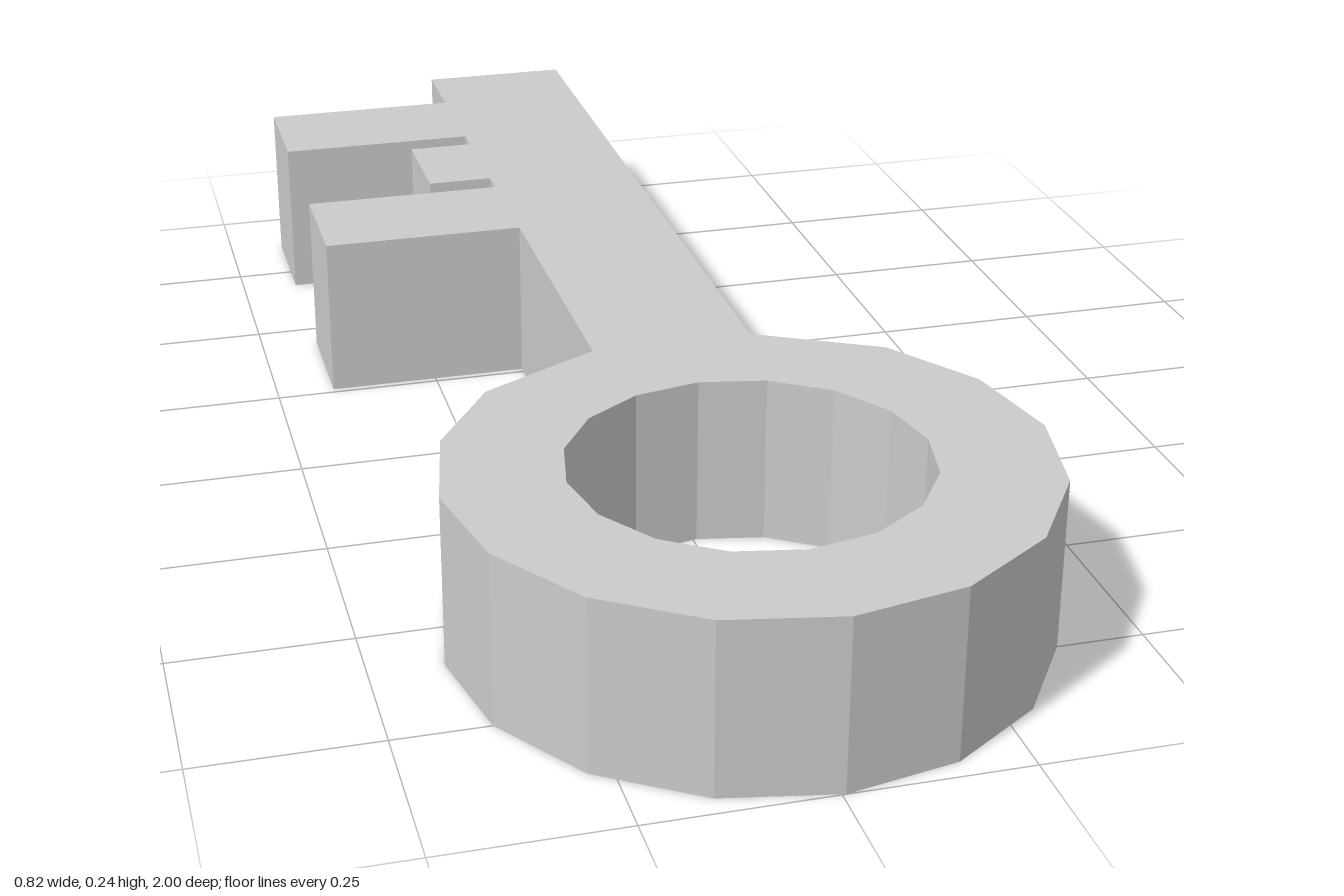
import * as THREE from 'three';

const HEIGHT = 0.243;
const RING = { x: 0.005, y: -0.595, outer: 0.405, inner: 0.242, sides: 16 };
const SHAFT = { left: -0.11, right: 0.12, base: -0.217, tip: 1 };
// Each tooth: outer x, far end, near end along the shaft
const TEETH = [
  [-0.413, 0.87, 0.69],
  [-0.21, 0.65, 0.483],
  [-0.413, 0.442, 0.26],
];

function ringPoint(radius, i) {
  const a = (i / RING.sides) * Math.PI * 2;
  return new THREE.Vector2(RING.x + radius * Math.cos(a), RING.y + radius * Math.sin(a));
}

export function createModel() {
  const group = new THREE.Group();
  group.name = 'key';
  const outline = [];
  const add = (x, y) => outline.push(new THREE.Vector2(x, y));

  // Bow: faceted ring, open where the shaft joins
  for (let i = 6; i <= 18; i++) outline.push(ringPoint(RING.outer, i));

  // Shaft
  add(SHAFT.right, SHAFT.base);
  add(SHAFT.right, SHAFT.tip);
  add(SHAFT.left, SHAFT.tip);

  // Teeth along the right-hand edge
  for (const [x, far, near] of TEETH) {
    add(SHAFT.left, far);
    add(x, far);
    add(x, near);
    add(SHAFT.left, near);
  }
  add(SHAFT.left, SHAFT.base);

  // Round hole through the bow
  const shape = new THREE.Shape(outline);
  const hole = [];
  for (let i = 0; i < RING.sides; i++) hole.push(ringPoint(RING.inner, -i));
  shape.holes.push(new THREE.Path(hole));

  // Lay the extruded outline flat, with the bow to the front
  const geometry = new THREE.ExtrudeGeometry(shape, { depth: HEIGHT, bevelEnabled: false });
  geometry.rotateX(-Math.PI / 2);
  const body = new THREE.Mesh(
    geometry,
    new THREE.MeshStandardMaterial({ color: 0xcccccc, flatShading: true })
  );
  body.name = 'keyBody';
  group.add(body);
  return group;
}
